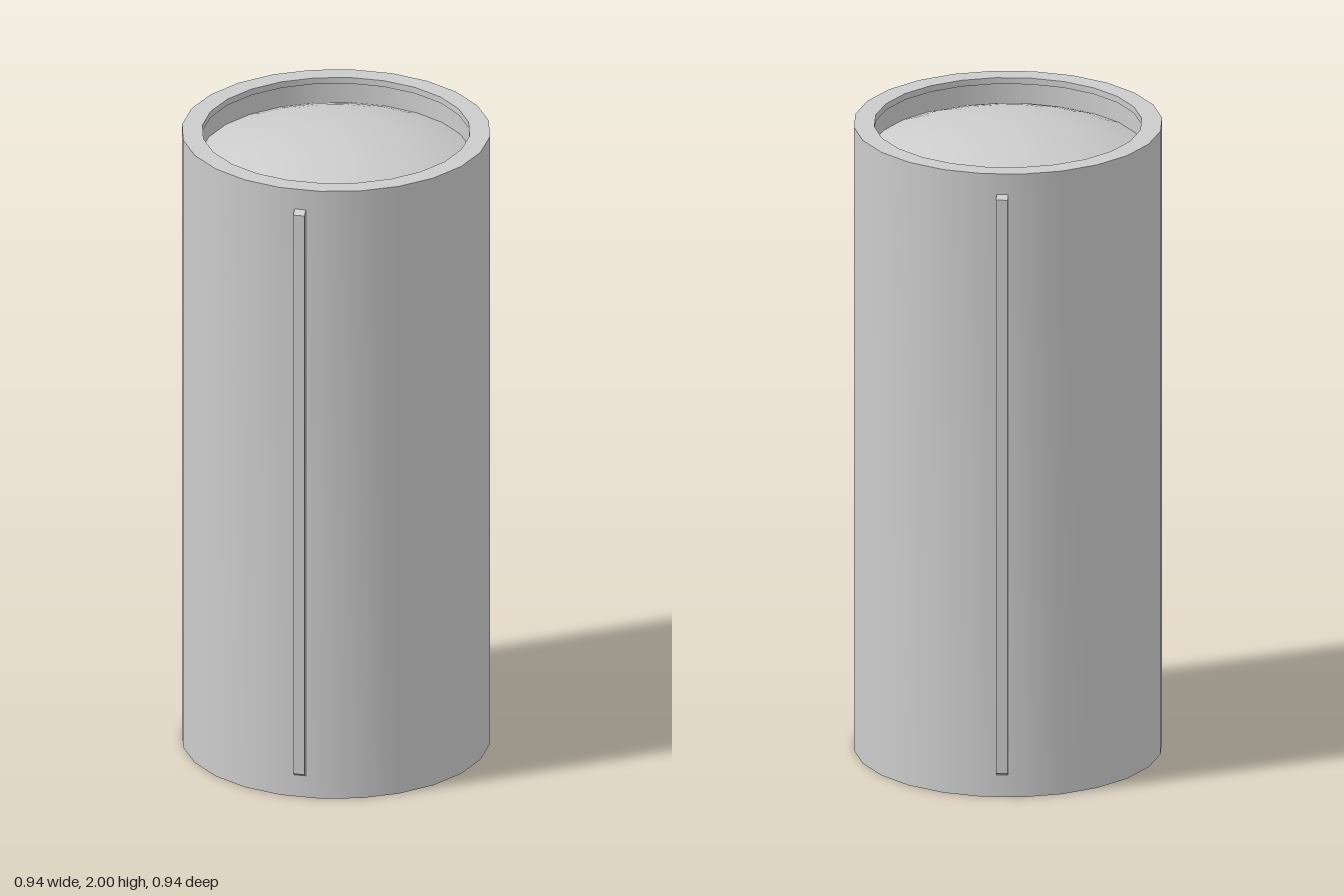
import * as THREE from 'three';
import { toCreasedNormals } from 'three/addons/utils/BufferGeometryUtils.js';

const SIDES = 24;
const HEIGHT = 2;
const BORE = 0.406; // visible opening radius
const SEAT = 0.412; // slightly wider bore under the lip

const material = new THREE.MeshStandardMaterial({ color: 0xcccccc });

function addMesh(parent, name, geometry) {
  const mesh = new THREE.Mesh(geometry, material);
  mesh.name = name;
  parent.add(mesh);
  return mesh;
}

function lathe(points) {
  const profile = points.map(([r, y]) => new THREE.Vector2(r, y));
  return toCreasedNormals(new THREE.LatheGeometry(profile, SIDES), 0.6);
}

// Shallow spherical cap, rim at y = 0
function domeGeometry(radius, rise) {
  const sphere = (radius * radius + rise * rise) / (2 * rise);
  const edge = Math.asin(radius / sphere);
  const points = [];
  for (let i = 0; i <= 8; i++) {
    const a = edge * (1 - i / 8);
    points.push([sphere * Math.sin(a), sphere * Math.cos(a) - sphere + rise]);
  }
  return lathe(points);
}

export function createModel() {
  const model = new THREE.Group();
  model.name = 'domedTube';

  // Thick tube with a small lip at each opening
  addMesh(model, 'tube', lathe([
    [0.468, 0], [0.468, HEIGHT],
    [BORE, HEIGHT], [BORE, HEIGHT - 0.02], [SEAT, HEIGHT - 0.02],
    [SEAT, 0.02], [BORE, 0.02], [BORE, 0], [0.468, 0],
  ]));

  // Domed lenses recessed in both ends
  const dome = domeGeometry(SEAT, 0.083);
  addMesh(model, 'topLens', dome).position.y = HEIGHT - 0.085;
  const bottomLens = addMesh(model, 'bottomLens', dome);
  bottomLens.position.y = 0.085;
  bottomLens.rotation.x = Math.PI;

  // Two opposite vertical ribs with bevelled ends
  const outline = new THREE.Shape([
    [0.455, 0.065], [0.483, 0.082], [0.483, 1.922], [0.455, 1.94],
  ].map(([r, y]) => new THREE.Vector2(r, y)));
  const rib = new THREE.ExtrudeGeometry(outline, { depth: 0.035, bevelEnabled: false });
  rib.translate(0, 0, -0.0175);
  ['leftRib', 'rightRib'].forEach((name, i) => {
    addMesh(model, name, rib).rotation.y = Math.PI / 8 + i * Math.PI;
  });

  return model;
}
